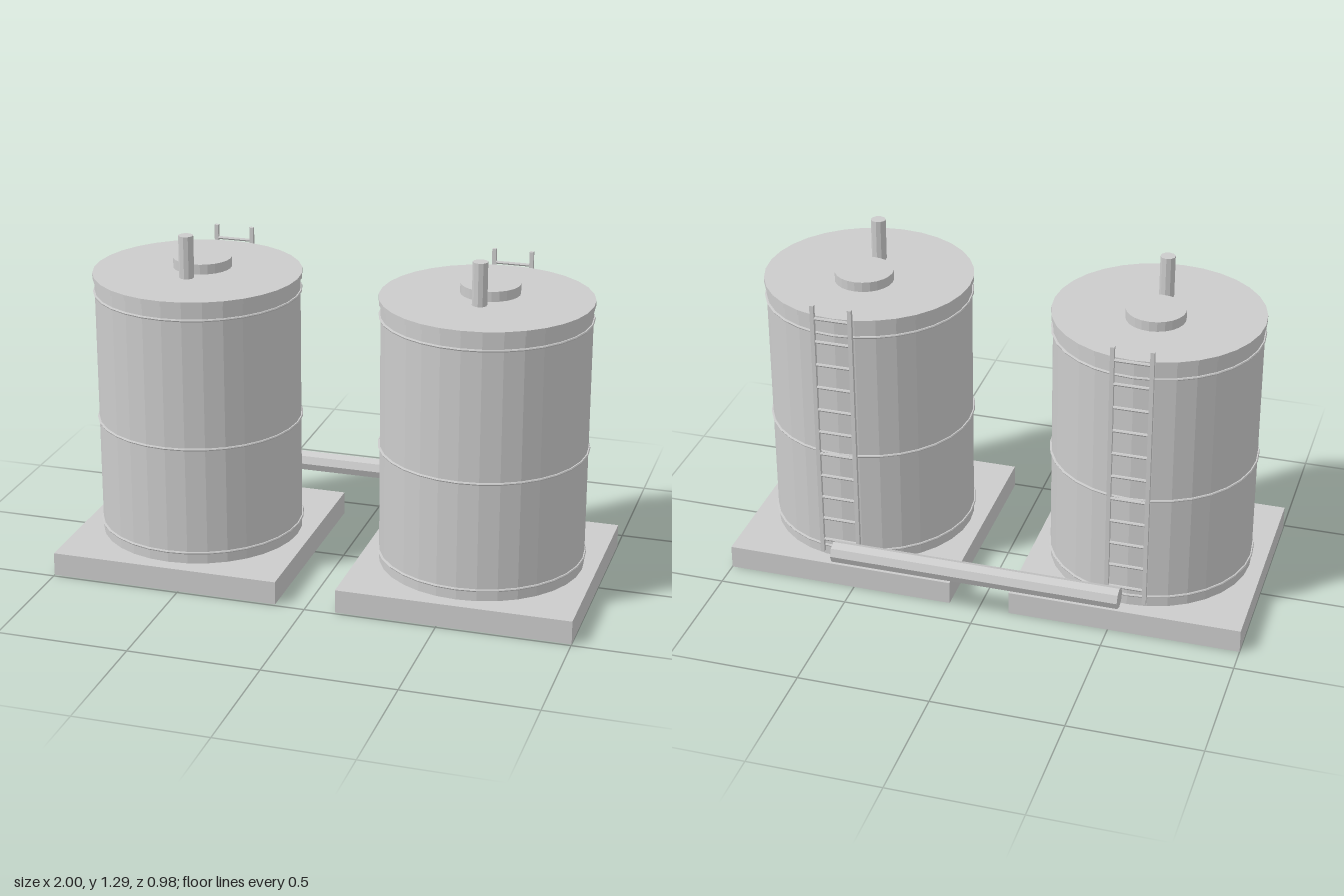
import * as THREE from 'three';

const material = new THREE.MeshStandardMaterial({ color: 0xcccccc, flatShading: true });

function add(parent, name, geometry, x = 0, y = 0, z = 0) {
  const mesh = new THREE.Mesh(geometry, material);
  mesh.name = name;
  mesh.position.set(x, y, z);
  parent.add(mesh);
  return mesh;
}

// Upright cylinder given by its bottom and top heights
function drum(parent, name, radius, y0, y1, sides, z = 0) {
  return add(parent, name, new THREE.CylinderGeometry(radius, radius, y1 - y0, sides), 0, (y0 + y1) / 2, z);
}

function createLadder() {
  const ladder = new THREE.Group();
  ladder.name = 'ladder';
  const bottom = 0.125, top = 1.178, rungs = 11, halfWidth = 0.072;
  for (const side of [-1, 1]) {
    add(ladder, 'ladderRail', new THREE.BoxGeometry(0.015, top - bottom, 0.015), side * halfWidth, (bottom + top) / 2);
  }
  for (let i = 0; i < rungs; i++) {
    const rung = add(ladder, 'ladderRung', new THREE.CylinderGeometry(0.006, 0.006, halfWidth * 2, 6), 0, 0.18 + i * 0.0945);
    rung.rotation.z = Math.PI / 2;
  }
  return ladder;
}

function createTank() {
  const tank = new THREE.Group();
  tank.name = 'tank';

  // Plinth, shell and lid
  add(tank, 'basePlinth', new THREE.BoxGeometry(0.884, 0.09, 0.884), 0, 0.045, 0);
  drum(tank, 'tankShell', 0.387, 0.09, 1.104, 32);
  drum(tank, 'lid', 0.394, 1.103, 1.123, 32);

  // Hoops around the shell
  for (const y of [0.133, 0.55, 1.052]) {
    const hoop = add(tank, 'hoop', new THREE.TorusGeometry(0.389, 0.005, 6, 32), 0, y, 0);
    hoop.rotation.x = Math.PI / 2;
  }

  // Roof fittings
  drum(tank, 'hatch', 0.111, 1.123, 1.161, 24, -0.054);
  drum(tank, 'ventPipe', 0.028, 1.129, 1.291, 10, 0.116);

  // Ladder at the back
  const ladder = createLadder();
  ladder.position.z = -0.414;
  tank.add(ladder);
  return tank;
}

export function createModel() {
  const model = new THREE.Group();
  model.name = 'twinStorageTanks';

  for (const side of [-1, 1]) {
    const tank = createTank();
    tank.position.set(side * 0.558, 0, 0.048);
    model.add(tank);
  }

  // Pipe running behind both tanks
  const pipe = add(model, 'connectingPipe', new THREE.CylinderGeometry(0.041, 0.041, 1.11, 8), 0, 0.188, -0.449);
  pipe.rotation.z = Math.PI / 2;
  return model;
}
